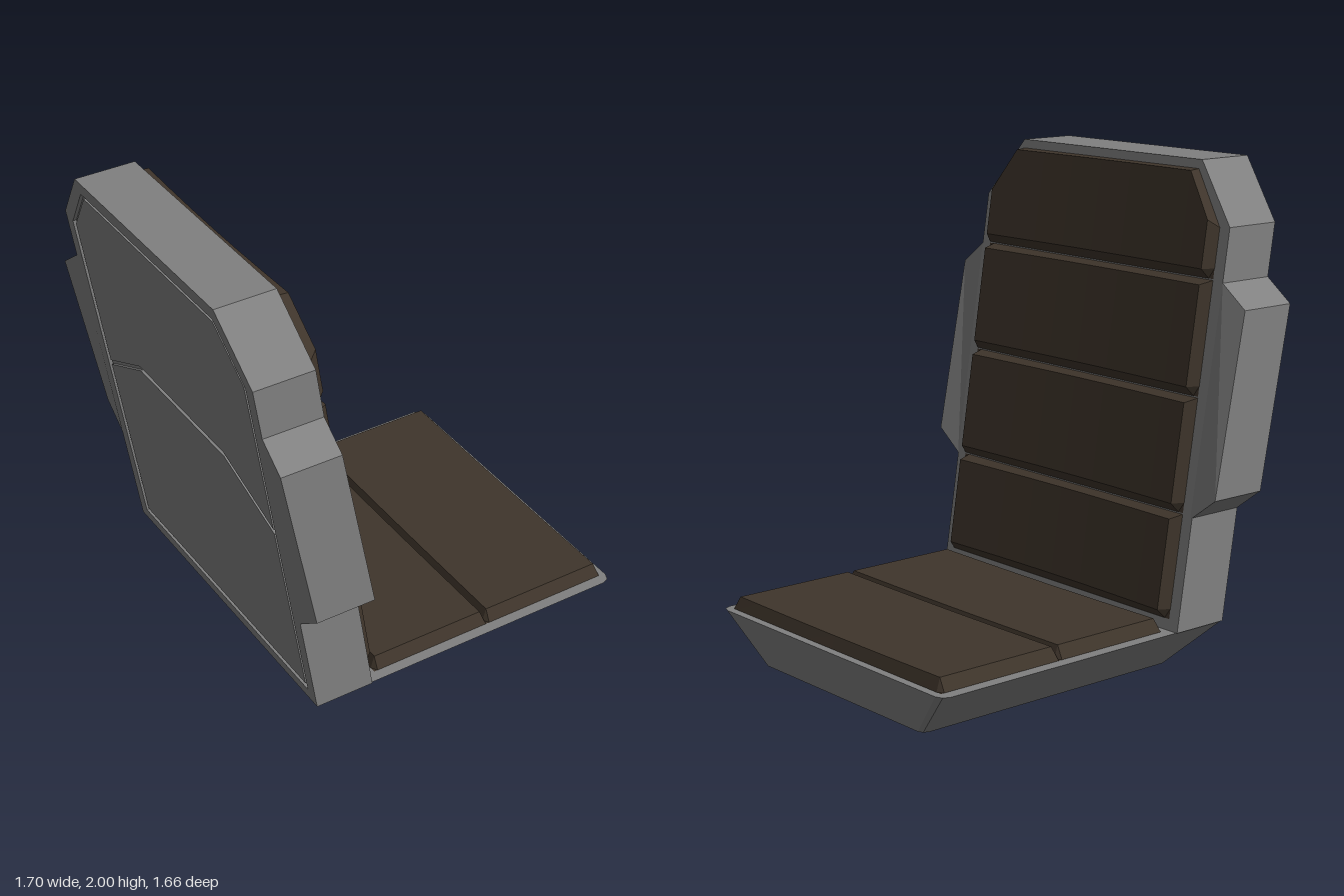
import * as THREE from 'three';

const grey = new THREE.MeshStandardMaterial({ color: 0x808080 });
grey.name = 'shell grey';
const brown = new THREE.MeshStandardMaterial({ color: 0x3f352b });
brown.name = 'cushion brown';

// Front plane of the reclined backrest at height y
const frontX = y => -0.32 - 0.1556 * (y - 0.2);

function addMesh(group, name, geometry, material) {
  const g = geometry.index ? geometry.toNonIndexed() : geometry;
  g.computeVertexNormals();
  const mesh = new THREE.Mesh(g, material);
  mesh.name = name;
  group.add(mesh);
  return mesh;
}

function toShape(pts) {
  return new THREE.Shape(pts.map(p => new THREE.Vector2(p[0], p[1])));
}

// Mirror a right-hand run of [z, y] points into a closed outline
const mirrored = pts => [...pts, ...pts.map(([z, y]) => [-z, y]).reverse()];

// Extrude a [z, y] outline between two depths and lean it back
function leaning(shape, d0, d1, lean = frontX) {
  const g = new THREE.ExtrudeGeometry(shape, { depth: d1 - d0, bevelEnabled: false });
  g.translate(0, 0, d0);
  g.rotateY(Math.PI / 2);
  const p = g.attributes.position;
  for (let i = 0; i < p.count; i++) p.setX(i, p.getX(i) + lean(p.getY(i), p.getZ(i)));
  return g;
}

// Bevelled, slightly dished pad; place(u, z, h) puts it on its surface
function padGeometry(u0, u1, bevel0, bevel1, halfWidth, height, dish, place, topAt) {
  const W = halfWidth, b = 0.025;
  const cols = [-W, b - W, -0.51, -0.34, -0.17, 0, 0.17, 0.34, 0.51, W - b, W];
  const pos = [], idx = [], n = cols.length;
  for (let r = 0; r < 4; r++) {
    cols.forEach((z, c) => {
      const end = topAt ? Math.min(u1, topAt(Math.abs(z))) : u1;
      const u = [u0, u0 + bevel0, end - bevel1, end][r];
      const border = r === 0 || r === 3 || c === 0 || c === n - 1;
      const h = border ? 0.002 : height - dish * Math.cos(z / W * Math.PI / 2);
      pos.push(...place(u, z, h));
      if (r < 3 && c < n - 1) {
        const a = r * n + c;
        idx.push(a, a + n, a + 1, a + 1, a + n, a + n + 1);
      }
    });
  }
  const g = new THREE.BufferGeometry();
  g.setAttribute('position', new THREE.Float32BufferAttribute(pos, 3));
  g.setIndex(idx);
  return g;
}

// Tapered solid between two convex [x, z] loops
function taperedGeometry(bottom, yb, top, yt) {
  const n = top.length, idx = [];
  const pos = [...bottom.map(([x, z]) => [x, yb, z]), ...top.map(([x, z]) => [x, yt, z])].flat();
  for (let i = 0; i < n; i++) {
    const j = (i + 1) % n;
    idx.push(i, j, n + j, i, n + j, n + i);
    if (i > 0 && i < n - 1) idx.push(n, n + i, n + i + 1, 0, i + 1, i);
  }
  const g = new THREE.BufferGeometry();
  g.setAttribute('position', new THREE.Float32BufferAttribute(pos, 3));
  g.setIndex(idx);
  return g;
}

export function createModel() {
  const model = new THREE.Group();
  model.name = 'seat';

  // Seat base: tray that narrows downwards, front corners clipped
  const tray = (back, front, w, c) => [
    [back, w], [front - c, w], [front - c * 0.3, w - c * 0.3], [front, w - c],
    [front, c - w], [front - c * 0.3, c * 0.3 - w], [front - c, -w], [back, -w],
  ];
  addMesh(model, 'seatBase', taperedGeometry(tray(-0.44, 0.78, 0.51, 0.03), 0, tray(-0.57, 0.845, 0.705, 0.04), 0.2), grey);

  // Backrest shell
  const outline = mirrored([[0.71, 0.2], [0.71, 1.76], [0.52, 2]]);
  addMesh(model, 'backrestShell', leaning(toShape(outline), -0.235, 0), grey);

  // Raised rim around the rear face
  const rim = toShape(outline);
  rim.holes.push(new THREE.Path(mirrored([[0.655, 0.25], [0.655, 1.74], [0.495, 1.945]]).map(p => new THREE.Vector2(...p))));
  addMesh(model, 'rearRim', leaning(rim, -0.25, -0.235), grey);

  // Rear panels, separated by a stepped groove
  const panels = {
    lowerRearPanel: [[0.637, 0.268], [0.637, 1.05], [0.325, 1.21]],
    upperRearPanel: [[0.325, 1.232], [0.637, 1.072], [0.637, 1.735], [0.485, 1.927]],
  };
  for (const [name, pts] of Object.entries(panels)) {
    addMesh(model, name, leaning(toShape(mirrored(pts)), -0.247, -0.235), grey);
  }

  // Side wings: the outer edge keeps the lean of its inner corners
  const wingLean = (y, z) => frontX(Math.abs(z) > 0.8 ? (y > 1.1 ? 1.55 : 0.65) : y);
  for (const s of [1, -1]) {
    const pts = [[0.7, 0.65], [0.71, 0.65], [0.83, 0.74], [0.83, 1.46], [0.71, 1.55], [0.7, 1.55]];
    addMesh(model, s > 0 ? 'rightWing' : 'leftWing',
      leaning(toShape(pts.map(([z, y]) => [z * s, y])), -0.25, 0, wingLean), grey);
  }

  // Backrest cushions; the top one has clipped corners
  const onBack = (y, z, h) => [frontX(y) + h, y, z];
  const clipped = z => (z <= 0.51 ? 1.965 : 1.965 - (z - 0.51) * 1.4);
  [[0.245, 0.655], [0.66, 1.105], [1.11, 1.555], [1.56, 1.965]].forEach(([y0, y1], i) => {
    addMesh(model, `backCushion${i + 1}`,
      padGeometry(y0, y1, 0.04, i === 3 ? 0.004 : 0.015, 0.66, 0.05, 0.015, onBack, i === 3 ? clipped : null), brown);
  });

  // Seat cushions
  const onSeat = (u, z, h) => [-u, 0.2 + h, z];
  [[-0.25, 0.28], [-0.815, -0.25]].forEach(([u0, u1], i) => {
    addMesh(model, i ? 'frontSeatCushion' : 'rearSeatCushion',
      padGeometry(u0, u1, 0.016, 0.016, 0.66, 0.055, 0.004, onSeat), brown);
  });

  return model;
}
